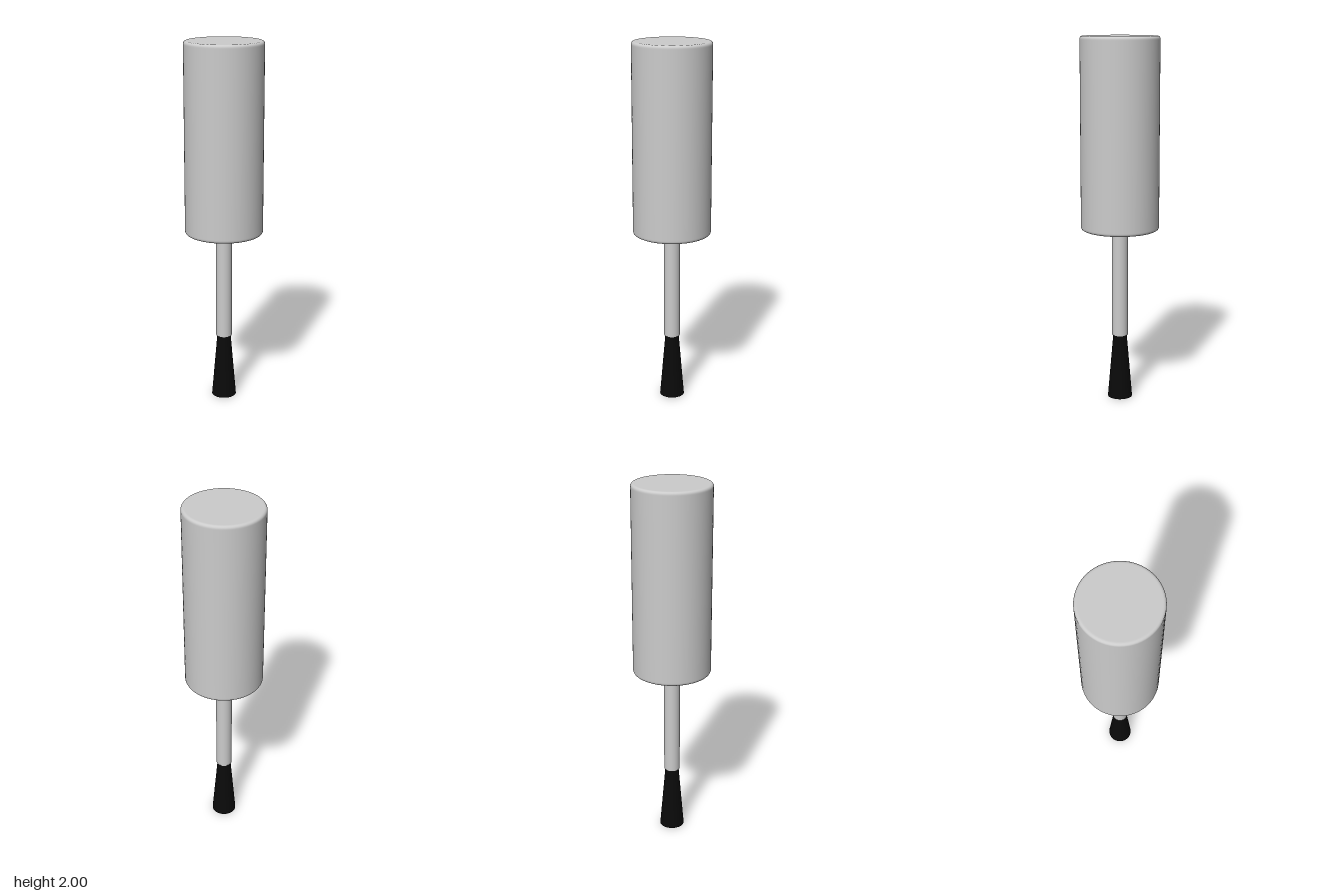
import * as THREE from 'three';

const SEGMENTS = 64;

// Quarter-round corner in a lathe profile, from angle a0 to a1
function corner(cx, cy, r, a0, a1, steps = 5) {
  return Array.from({ length: steps + 1 }, (_, i) => {
    const a = a0 + ((a1 - a0) * i) / steps;
    return new THREE.Vector2(cx + r * Math.cos(a), cy + r * Math.sin(a));
  });
}

function add(group, name, geometry, material, y = 0) {
  const mesh = new THREE.Mesh(geometry, material);
  mesh.name = name;
  mesh.position.y = y;
  group.add(mesh);
}

export function createModel() {
  const group = new THREE.Group();
  group.name = 'brushApplicator';
  const grey = new THREE.MeshStandardMaterial({ color: 0xcccccc });
  const black = new THREE.MeshStandardMaterial({ color: 0x0a0a0a });
  const P = (x, y) => new THREE.Vector2(x, y);
  const H = Math.PI / 2;

  // Hollow cap: inner ceiling, inner wall, rounded rim, outer wall, rounded top.
  // Extra points beside each corner keep the flat areas evenly shaded.
  const R = 0.213, r = 0.187, bottom = 0.96, top = 2, f = 0.015, lip = 0.01;
  const profile = [
    P(0, 1.93), P(r - 0.025, 1.93),
    ...corner(r - 0.02, 1.91, 0.02, H, 0),
    P(r, 1.905), P(r, bottom + 0.02),
    ...corner(r + lip, bottom + lip, lip, Math.PI, 3 * H),
    ...corner(R - f, bottom + f, f, -H, 0),
    P(R, bottom + f + 0.005), P(R, top - f - 0.005),
    ...corner(R - f, top - f, f, 0, H),
    P(R - f - 0.005, top), P(0, top),
  ];
  add(group, 'cap', new THREE.LatheGeometry(profile, SEGMENTS), grey);

  // Stem running up into the cap
  const stemBottom = 0.36, stemTop = 1.93;
  add(group, 'stem',
    new THREE.CylinderGeometry(0.044, 0.044, stemTop - stemBottom, 40),
    grey, (stemBottom + stemTop) / 2);

  // Flared bristles
  add(group, 'bristles',
    new THREE.CylinderGeometry(0.037, 0.068, 0.365, 40),
    black, 0.1825);

  return group;
}
